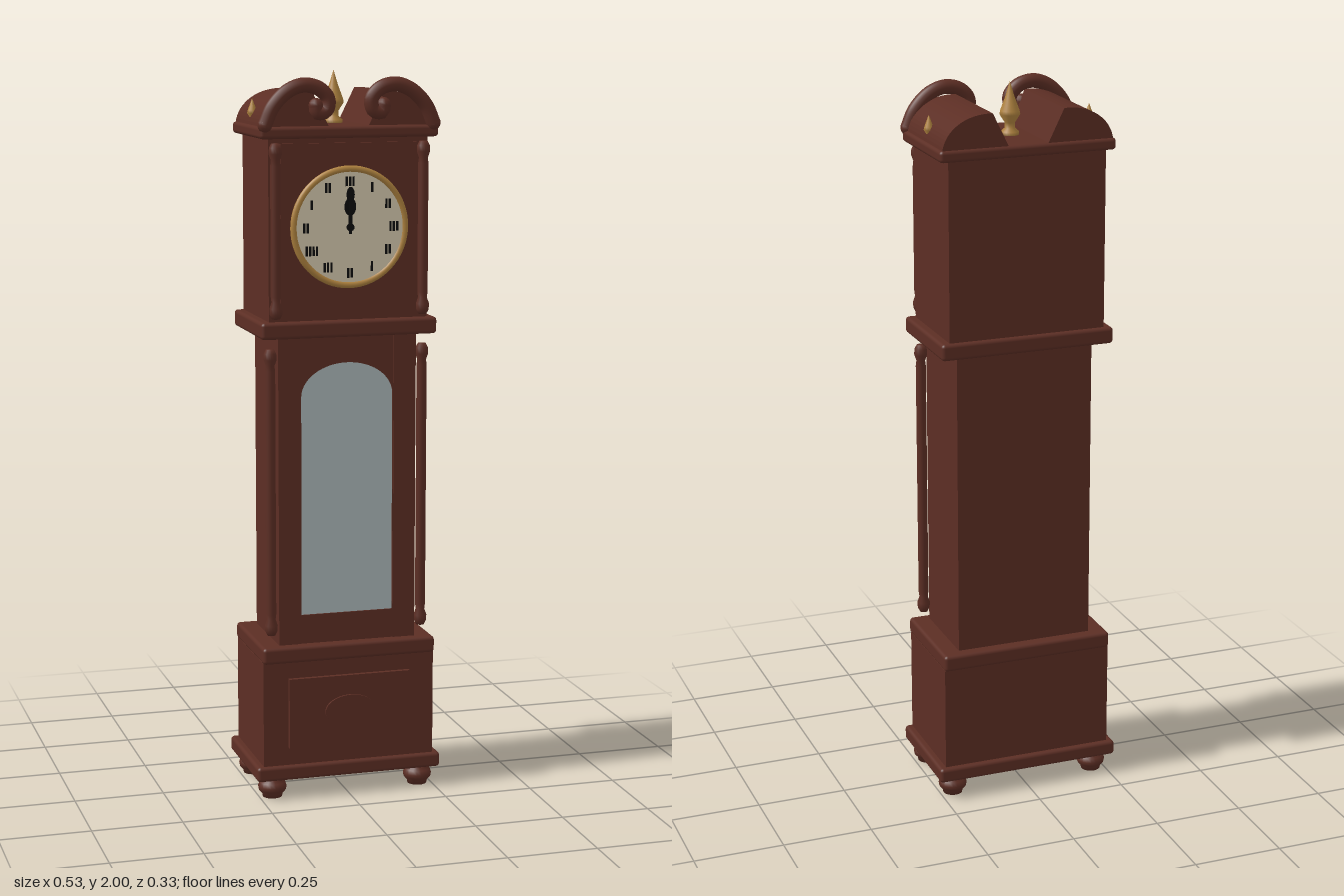
import * as THREE from 'three';
import { RoundedBoxGeometry } from 'three/addons/geometries/RoundedBoxGeometry.js';

const mat = (name, color) => {
  const m = new THREE.MeshStandardMaterial({ color });
  m.name = name;
  return m;
};

export function createModel() {
  const wood = mat('mahogany', 0x5c2e24);
  const brass = mat('brass', 0xb0833f);
  const cream = mat('dial cream', 0xd6cab0);
  const black = mat('black', 0x0c0c0c);
  const glass = mat('glass grey', 0xacb8ba);
  const clock = new THREE.Group();
  clock.name = 'longcaseClock';

  const add = (name, geo, material, x = 0, y = 0, z = 0) => {
    const m = new THREE.Mesh(geo, material);
    m.name = name;
    m.position.set(x, y, z);
    clock.add(m);
    return m;
  };
  // Box given by half width, vertical range and depth range; r rounds the edges
  const block = (name, hw, y0, y1, z0, z1, r = 0) => {
    const size = [hw * 2, y1 - y0, z1 - z0];
    const geo = r ? new RoundedBoxGeometry(...size, 3, r) : new THREE.BoxGeometry(...size);
    return add(name, geo, wood, 0, (y0 + y1) / 2, (z0 + z1) / 2);
  };
  const lathe = (pts, seg = 20) =>
    new THREE.LatheGeometry(pts.map(p => new THREE.Vector2(...p)), seg);
  const disc = (r, depth, sx = 1, sy = 1) =>
    new THREE.CylinderGeometry(r, r, depth, 48).rotateX(Math.PI / 2).scale(sx, sy, 1);

  // Carcass, from the floor up
  block('plinth', 0.265, 0.055, 0.097, -0.165, 0.153, 0.01);
  block('baseCabinet', 0.245, 0.095, 0.392, -0.15, 0.142);
  block('baseMoulding', 0.247, 0.39, 0.436, -0.157, 0.152, 0.01);
  block('trunk', 0.195, 0.434, 1.292, -0.125, 0.11);
  block('waistMoulding', 0.247, 1.29, 1.336, -0.157, 0.152, 0.01);
  block('hood', 0.222, 1.334, 1.828, -0.145, 0.132);
  block('hoodDoor', 0.19, 1.358, 1.812, 0.13, 0.14);
  block('cornice', 0.248, 1.825, 1.857, -0.157, 0.152, 0.01);

  // Raised panel with an oval boss
  block('basePanel', 0.174, 0.147, 0.345, 0.14, 0.155);
  add('ovalBoss', disc(1, 0.008, 0.072, 0.045), wood, 0, 0.245, 0.157);

  // Arched outline shared by the door opening and the glass
  const arch = (C) => {
    const s = new C();
    s.moveTo(-0.13, 0.517);
    s.lineTo(0.13, 0.517);
    s.lineTo(0.13, 1.125);
    s.absellipse(0, 1.125, 0.13, 0.092, 0, Math.PI, false);
    s.lineTo(-0.13, 0.517);
    return s;
  };
  const door = new THREE.Shape();
  door.moveTo(-0.132, 0.436);
  door.lineTo(0.132, 0.436);
  door.lineTo(0.132, 1.29);
  door.lineTo(-0.132, 1.29);
  door.closePath();
  door.holes.push(arch(THREE.Path));
  add('trunkDoor', new THREE.ExtrudeGeometry(door,
    { depth: 0.012, bevelEnabled: false, curveSegments: 24 }), wood, 0, 0, 0.11);
  add('doorGlass', new THREE.ShapeGeometry(arch(THREE.Shape), 24), glass, 0, 0, 0.118);

  // Turned column with swollen ends
  const column = (h) => lathe([
    [0, 0], [0.011, 0], [0.017, 0.012], [0.018, 0.028], [0.012, 0.045], [0.014, 0.06],
    [0.014, h - 0.06], [0.012, h - 0.045], [0.018, h - 0.028], [0.017, h - 0.012],
    [0.011, h], [0, h]], 16);
  const foot = lathe([[0, 0], [0.027, 0], [0.029, 0.01], [0.038, 0.02], [0.04, 0.03],
    [0.036, 0.042], [0.026, 0.048], [0.026, 0.058], [0, 0.058]], 20);
  const sideFinial = lathe([[0, 0], [0.008, 0], [0.006, 0.01], [0.014, 0.022],
    [0.012, 0.03], [0, 0.062]], 14);

  // Curved roof block behind each scroll
  const roof = new THREE.Shape();
  roof.moveTo(0.055, 1.855);
  roof.lineTo(0.24, 1.855);
  roof.bezierCurveTo(0.232, 1.91, 0.175, 1.95, 0.1, 1.946);
  roof.lineTo(0.055, 1.855);
  const scrollPath = [[0.234, 1.862], [0.212, 1.91], [0.172, 1.95], [0.128, 1.966],
    [0.085, 1.956], [0.06, 1.928], [0.066, 1.898], [0.09, 1.894], [0.094, 1.912]];

  for (const s of [-1, 1]) {
    const side = s > 0 ? 'left' : 'right';
    add(side + 'DoorStile', new THREE.BoxGeometry(0.063, 0.856, 0.015), wood, s * 0.1635, 0.863, 0.1175);
    add(side + 'TrunkColumn', column(0.795), wood, s * 0.215, 0.465, 0.115);
    add(side + 'HoodColumn', column(0.468), wood, s * 0.206, 1.346, 0.146);
    for (const z of [-0.112, 0.106]) add(side + 'Foot', foot, wood, s * 0.212, 0, z);
    add(side + 'SideFinial', sideFinial, brass, s * 0.228, 1.864, -0.012);

    const shape = new THREE.Shape(roof.getPoints(16).map(p => new THREE.Vector2(s * p.x, p.y)));
    add(side + 'PedimentRoof', new THREE.ExtrudeGeometry(shape,
      { depth: 0.285, bevelEnabled: false }), wood, 0, 0, -0.15);
    const path = new THREE.CatmullRomCurve3(
      scrollPath.map(([x, y]) => new THREE.Vector3(s * x, y, 0.145)));
    add(side + 'Scroll', new THREE.TubeGeometry(path, 48, 0.02, 12), wood);
    // Caps on both ends of the scroll
    const ends = [scrollPath[0], scrollPath[scrollPath.length - 1]];
    for (const [x, y] of ends)
      add(side + 'ScrollEnd', new THREE.SphereGeometry(0.02, 12, 8), wood, s * x, y, 0.145);
  }

  // Central finial
  add('centreFinial', lathe([[0, 1.855], [0.024, 1.855], [0.024, 1.866], [0.014, 1.875],
    [0.014, 1.89], [0.028, 1.912], [0.026, 1.922], [0.012, 1.96], [0, 2]], 24), brass, 0, 0, -0.012);

  // Dial, bezel, hour marks and hands
  const cy = 1.587;
  add('dial', disc(0.155, 0.008), cream, 0, cy, 0.143);
  add('bezel', new THREE.TorusGeometry(0.156, 0.009, 10, 64), brass, 0, cy, 0.143);
  const strokes = [3, 1, 2, 3, 2, 1, 2, 3, 4, 2, 1, 2];
  strokes.forEach((n, i) => {
    const a = i * Math.PI / 6;
    for (let k = 0; k < n; k++)
      add('hourMark', new THREE.BoxGeometry(0.006, 0.026, 0.002), black,
        Math.sin(a) * 0.123 + (k - (n - 1) / 2) * 0.0095, cy + Math.cos(a) * 0.123, 0.148);
  });
  add('minuteHand', new THREE.BoxGeometry(0.008, 0.125, 0.003), black, 0, cy + 0.045, 0.153);
  add('hourHand', new THREE.BoxGeometry(0.01, 0.08, 0.003), black, 0, cy + 0.03, 0.15);
  add('hourHandSpade', disc(1, 0.003, 0.016, 0.024), black, 0, cy + 0.055, 0.15);
  add('minuteHandTip', disc(1, 0.003, 0.011, 0.02), black, 0, cy + 0.088, 0.153);
  add('handHub', disc(0.01, 0.008), black, 0, cy, 0.152);

  return clock;
}
